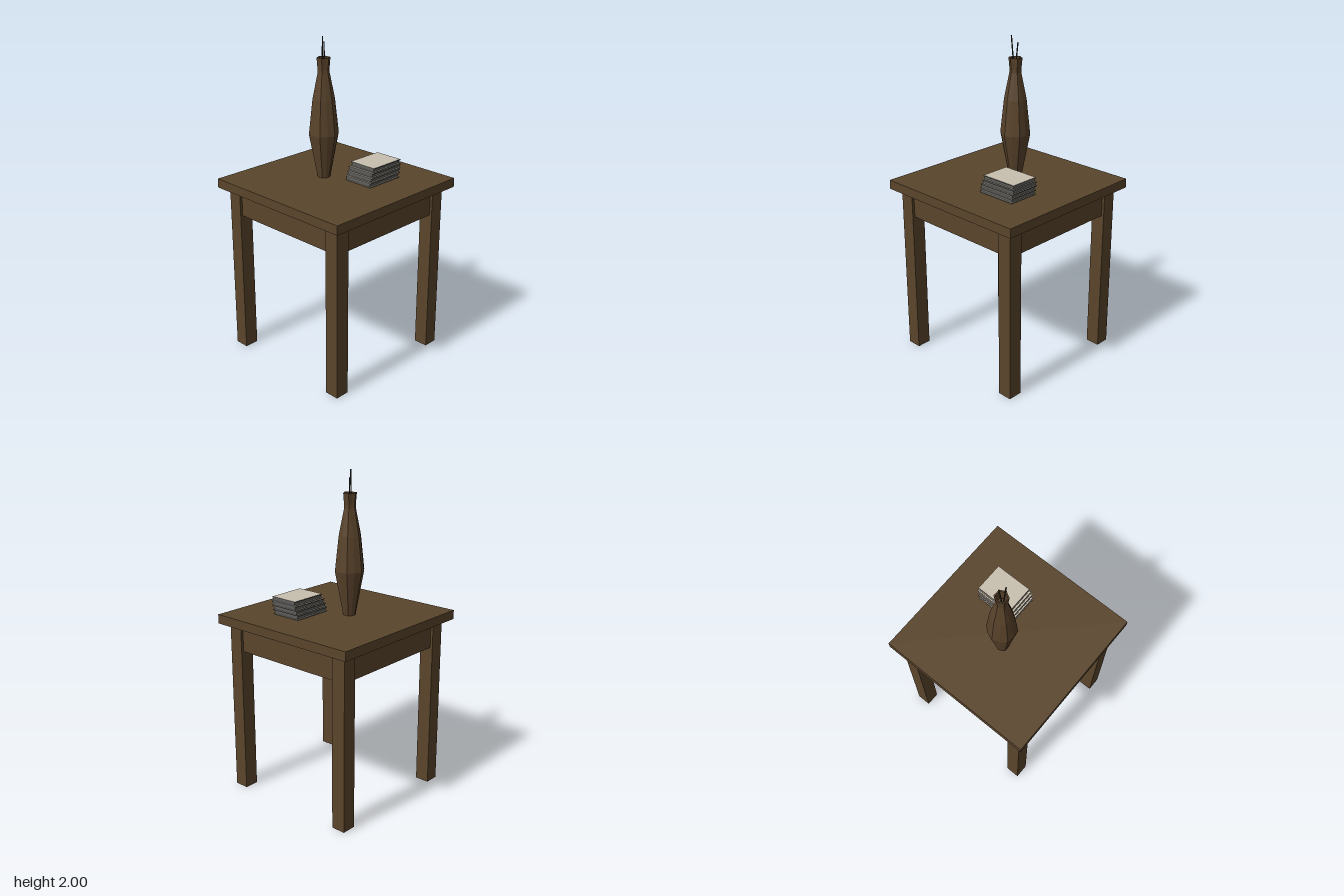
import * as THREE from 'three';

export function createModel() {
  const model = new THREE.Group();
  model.name = 'sideTable';

  const material = (name, color) => {
    const m = new THREE.MeshStandardMaterial({ color, flatShading: true });
    m.name = name;
    return m;
  };
  const wood = material('wood', 0x5a452c);
  const ceramic = material('vaseBrown', 0x58422a);
  const cover = material('paleCover', 0xc8bfae);
  const paper = material('greyPaper', 0x5f5e5b);
  const bark = material('darkTwig', 0x2e2922);

  const add = (name, geometry, mat, parent = model) => {
    const mesh = new THREE.Mesh(geometry, mat);
    mesh.name = name;
    parent.add(mesh);
    return mesh;
  };
  // Box given by its lower and upper corners
  const box = (name, [x0, y0, z0], [x1, y1, z1], mat, parent) => {
    const mesh = add(name, new THREE.BoxGeometry(x1 - x0, y1 - y0, z1 - z0), mat, parent);
    mesh.position.set((x0 + x1) / 2, (y0 + y1) / 2, (z0 + z1) / 2);
    return mesh;
  };

  // Table: top, four legs and four slightly inset aprons
  const topY = 1.137;
  box('tableTop', [-0.507, 1.08, -0.507], [0.507, topY, 0.507], wood);
  for (const sx of [-1, 1]) {
    for (const sz of [-1, 1]) {
      add('leg', new THREE.BoxGeometry(0.09, 1.08, 0.09), wood).position.set(sx * 0.411, 0.54, sz * 0.411);
    }
  }
  for (const s of [-1, 1]) {
    add('apron', new THREE.BoxGeometry(0.732, 0.165, 0.03), wood).position.set(0, 0.9975, s * 0.425);
    add('sideApron', new THREE.BoxGeometry(0.03, 0.165, 0.732), wood).position.set(s * 0.425, 0.9975, 0);
  }

  // Faceted vase: radius, height and depth of its six flutes at each ring
  const rings = [
    [0, 0, 0], [0.04, 0, 0.07], [0.0925, 0.273, 0.065], [0.069, 0.485, 0.08],
    [0.036, 0.645, 0.15], [0.036, 0.665, 0.18], [0.042, 0.733, 0.18],
    [0.033, 0.733, 0.18], [0.028, 0.65, 0.15], [0, 0.65, 0],
  ];
  const vaseShape = new THREE.LatheGeometry(rings.map(([r, y]) => new THREE.Vector2(r, y)), 12);
  const p = vaseShape.attributes.position;
  for (let i = 0; i < p.count; i++) {
    const flute = rings[i % rings.length][2];
    const angle = Math.atan2(p.getX(i), p.getZ(i));
    const k = 1 - flute * (1 - Math.cos(6 * angle)) / 2;
    p.setXYZ(i, p.getX(i) * k, p.getY(i), p.getZ(i) * k);
  }
  vaseShape.computeVertexNormals();
  add('vase', vaseShape, ceramic).position.set(-0.021, topY, -0.082);

  // Two thin twigs standing in the vase
  const twig = (...points) => {
    const path = new THREE.CatmullRomCurve3(points.map((q) => new THREE.Vector3(...q)));
    add('twig', new THREE.TubeGeometry(path, 6, 0.004, 5), bark);
  };
  twig([-0.03, 1.79, -0.08], [-0.036, 1.88, -0.076], [-0.041, 2, -0.068]);
  twig([-0.02, 1.79, -0.08], [-0.014, 1.87, -0.083], [-0.009, 1.96, -0.09]);

  // Stack of four books, each shifted a little; covers overhang the pages
  const coverFaces = [paper, paper, cover, paper, paper, paper];
  const stack = new THREE.Group();
  stack.name = 'bookStack';
  model.add(stack);
  const h = 0.0285;
  [[0.022, 0.28, 0.06, 0.26], [0.031, 0.286, 0.062, 0.262],
    [0.041, 0.293, 0.065, 0.261], [0.053, 0.291, 0.073, 0.258]].forEach(([x0, x1, z0, z1], i) => {
    const y = topY + i * h;
    box('pages', [x0 + 0.002, y, z0 + 0.006], [x1 - 0.004, y + h - 0.006, z1 - 0.006], paper, stack);
    box('lowerCover', [x0, y, z0], [x1, y + 0.006, z1], coverFaces, stack);
    box('upperCover', [x0, y + h - 0.006, z0], [x1, y + h, z1], coverFaces, stack);
  });

  return model;
}
